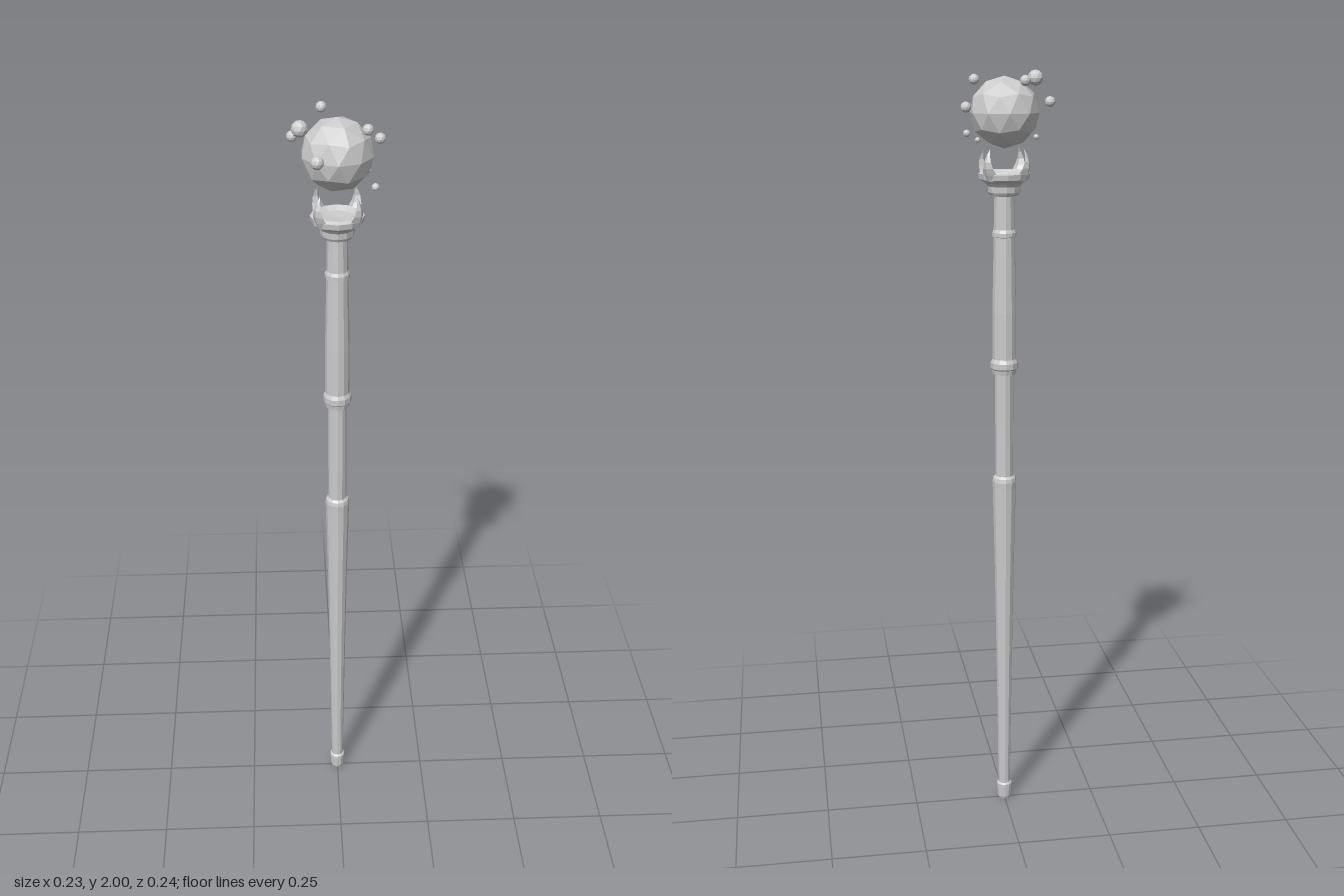
import * as THREE from 'three';

const material = new THREE.MeshStandardMaterial({ color: 0xcccccc, flatShading: true });
const SIDES = 12;

function addMesh(parent, name, geometry, x = 0, y = 0, z = 0) {
  const mesh = new THREE.Mesh(geometry, material);
  mesh.name = name;
  mesh.position.set(x, y, z);
  parent.add(mesh);
  return mesh;
}

// Turned part from [radius, height] pairs, bottom to top
function turned(points) {
  return new THREE.LatheGeometry(points.map(([r, y]) => new THREE.Vector2(r, y)), SIDES);
}

// Faceted ball with a corner pointing straight up
function ball(radius) {
  return new THREE.IcosahedronGeometry(radius, 1).rotateZ(-Math.atan(2 / (1 + Math.sqrt(5))));
}

// Pointed claw that bulges outward (+x) and hooks back in at the tip
function claw() {
  const height = 0.08;
  const geometry = new THREE.ConeGeometry(1, height, 4, 5);
  const pos = geometry.attributes.position;
  for (let i = 0; i < pos.count; i++) {
    const t = pos.getY(i) / height + 0.5;
    const reach = 0.05 + 0.02 * Math.sin(Math.PI * 0.85 * t);
    pos.setXYZ(i, reach + pos.getX(i) * 0.014, t * height, pos.getZ(i) * 0.026);
  }
  geometry.computeVertexNormals();
  return geometry;
}

export function createModel() {
  const staff = new THREE.Group();
  staff.name = 'staff';

  // Shaft, from foot to head
  addMesh(staff, 'footCap', turned([
    [0, 0], [0.016, 0], [0.019, 0.008], [0.021, 0.038], [0.021, 0.046], [0.016, 0.05],
  ]));
  addMesh(staff, 'lowerShaft', turned([
    [0.016, 0.045], [0.021, 0.4], [0.026, 0.7], [0.031, 0.925], [0.032, 0.945], [0.03, 0.955], [0.023, 0.962],
  ]));
  addMesh(staff, 'middleShaft', turned([[0.024, 0.95], [0.024, 1.25]]));
  addMesh(staff, 'gripCollar', turned([
    [0.023, 1.236], [0.031, 1.238], [0.033, 1.25], [0.036, 1.253], [0.036, 1.268], [0.031, 1.278], [0.027, 1.279],
  ]));
  addMesh(staff, 'grip', turned([[0.031, 1.27], [0.031, 1.4], [0.027, 1.6]]));
  addMesh(staff, 'neckCollar', turned([
    [0.026, 1.592], [0.031, 1.594], [0.031, 1.604], [0.027, 1.612], [0.024, 1.613],
  ]));
  addMesh(staff, 'neck', turned([[0.027, 1.61], [0.025, 1.71]]));

  // Flared cup that carries the claws
  addMesh(staff, 'cup', turned([
    [0.024, 1.695], [0.037, 1.698], [0.041, 1.705], [0.042, 1.72], [0.048, 1.728],
    [0.064, 1.738], [0.066, 1.752], [0.056, 1.757], [0.04, 1.748], [0, 1.745],
  ]));
  for (let i = 0; i < 4; i++) {
    addMesh(staff, 'claw', claw(), 0, 1.735, 0).rotation.y = Math.PI / 4 + (i * Math.PI) / 2;
  }

  // Floating orb and the pebbles around it: x, y, z, radius
  addMesh(staff, 'orb', ball(0.0875), 0, 1.9, -0.004);
  const pebbles = [
    [-0.034, 1.979, -0.108, 0.0135], [-0.066, 1.845, -0.081, 0.007], [-0.105, 1.927, -0.054, 0.0135],
    [-0.088, 1.98, 0.055, 0.02], [-0.05, 1.916, 0.101, 0.016], [0.067, 1.977, 0.058, 0.0135],
    [0.085, 1.845, 0.068, 0.0095], [0.076, 1.838, -0.063, 0.007], [0.104, 1.916, -0.063, 0.0135],
  ];
  for (const [x, y, z, r] of pebbles) addMesh(staff, 'pebble', ball(r), x, y, z);

  return staff;
}
